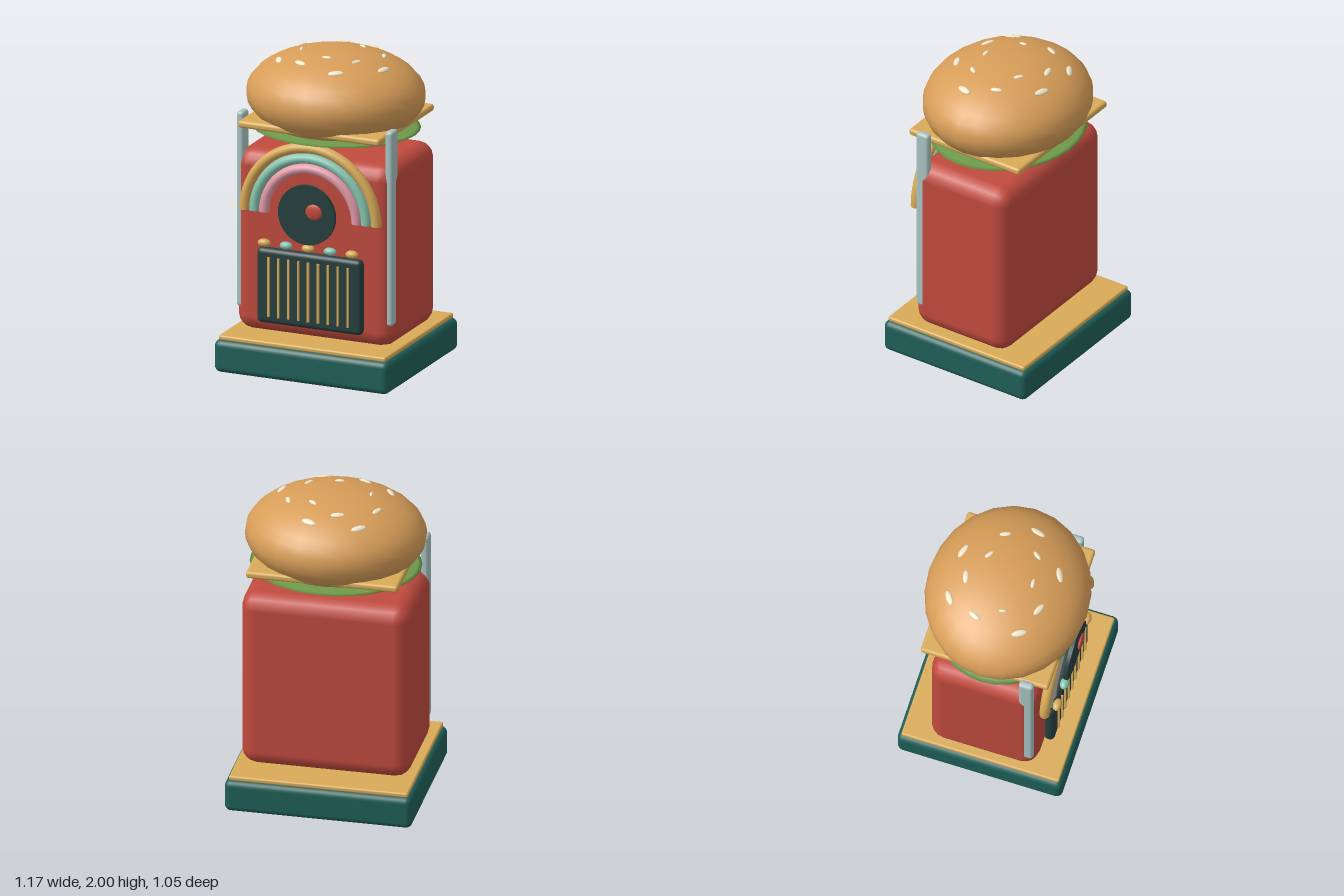
import * as THREE from 'three';
import { RoundedBoxGeometry } from 'three/addons/geometries/RoundedBoxGeometry.js';

const COLORS = {
  red: 0xc04a3e, teal: 0x1f5f58, gold: 0xd8ab58, bun: 0xd79d58, green: 0x6f9a4a,
  steel: 0xa9c4c2, mint: 0x86c5b0, pink: 0xe29aa8, dark: 0x263f3f, cream: 0xf2e6c8,
};
const BUN = { y: 1.715, rx: 0.56, ry: 0.285, rz: 0.505 };

export function createModel() {
  const model = new THREE.Group();
  model.name = 'burgerJukebox';
  const materials = {};
  for (const key in COLORS) materials[key] = new THREE.MeshStandardMaterial({ color: COLORS[key] });

  const add = (name, geometry, color, x = 0, y = 0, z = 0) => {
    const mesh = new THREE.Mesh(geometry, materials[color]);
    mesh.name = name;
    mesh.position.set(x, y, z);
    model.add(mesh);
    return mesh;
  };
  // Rounded box given by its lower and upper limits in y
  const box = (name, color, w, y0, y1, d, r, x = 0, z = 0, segments = 3) =>
    add(name, new RoundedBoxGeometry(w, y1 - y0, d, segments, r), color, x, (y0 + y1) / 2, z);
  const ellipsoid = (name, color, rx, ry, rz, x, y, z, w = 16, h = 10) => {
    const mesh = add(name, new THREE.SphereGeometry(1, w, h), color, x, y, z);
    mesh.scale.set(rx, ry, rz);
    return mesh;
  };

  // Plinth and cabinet
  box('base', 'teal', 1.17, 0, 0.207, 1.055, 0.04);
  box('baseTrim', 'gold', 1.12, 0.203, 0.235, 1.01, 0.012);
  box('cabinet', 'red', 1.06, 0.23, 1.39, 0.69, 0.1, 0, 0, 2);

  // Side posts
  for (const side of [-1, 1])
    box(side > 0 ? 'leftPost' : 'rightPost', 'steel', 0.05, 0.375, 1.62, 0.092, 0.02, side * 0.499, 0.279);

  // Rainbow arches
  [['outerArch', 'gold', 0.442], ['middleArch', 'mint', 0.375], ['innerArch', 'pink', 0.31]]
    .forEach(([name, color, radius]) =>
      add(name, new THREE.TorusGeometry(radius, 0.032, 12, 36, Math.PI), color, 0, 1.025, 0.377));

  // Record and its label
  const record = add('record', new THREE.CylinderGeometry(0.19, 0.19, 0.024, 40), 'dark', 0, 1.055, 0.426);
  record.rotation.x = Math.PI / 2;
  ellipsoid('recordLabel', 'red', 0.056, 0.05, 0.014, 0.056, 1.085, 0.451, 20, 12);

  // Selector buttons
  for (let i = 0; i < 5; i++)
    ellipsoid('button', i % 2 ? 'mint' : 'gold', 0.042, 0.025, 0.028, (i - 2) * 0.147, 0.835, 0.411);

  // Speaker grille with upright bars
  box('grille', 'dark', 0.704, 0.315, 0.795, 0.065, 0.03, 0, 0.372);
  for (let i = 0; i < 9; i++)
    add('grilleBar', new THREE.BoxGeometry(0.012, 0.38, 0.018), 'gold', (i - 4) * 0.0663, 0.555, 0.408);

  // Burger
  ellipsoid('lettuce', 'green', 0.53, 0.024, 0.465, 0, 1.51, 0, 32, 10);
  box('cheese', 'gold', 0.95, 1.545, 1.59, 0.82, 0.018);
  ellipsoid('bun', 'bun', BUN.rx, BUN.ry, BUN.rz, 0, BUN.y, 0, 24, 18);

  // Sesame seeds: x, z, turn in degrees, half length
  const seeds = [
    [-0.21, -0.31, 35, 0.05], [0.1, -0.32, -20, 0.05], [-0.065, -0.25, 15, 0.045],
    [0.11, -0.155, -38, 0.034], [0.275, -0.105, -68, 0.038], [-0.285, -0.125, 65, 0.043],
    [-0.213, 0.035, -80, 0.026], [0.355, 0.08, 75, 0.05], [-0.305, 0.17, -60, 0.05],
    [-0.13, 0.24, -25, 0.046], [0.01, 0.157, 4, 0.032], [0.195, 0.125, 55, 0.034], [0.13, 0.29, 28, 0.05],
  ];
  const up = new THREE.Vector3(0, 1, 0);
  for (const [x, z, turn, half] of seeds) {
    const h = BUN.ry * Math.sqrt(1 - (x / BUN.rx) ** 2 - (z / BUN.rz) ** 2);
    const normal = new THREE.Vector3(x / BUN.rx ** 2, h / BUN.ry ** 2, z / BUN.rz ** 2).normalize();
    const seed = ellipsoid('sesameSeed', 'cream', half, 0.012, half * 0.42, x, BUN.y + h - 0.002, z, 12, 8);
    seed.quaternion.setFromUnitVectors(up, normal)
      .multiply(new THREE.Quaternion().setFromAxisAngle(up, THREE.MathUtils.degToRad(turn)));
  }
  return model;
}
